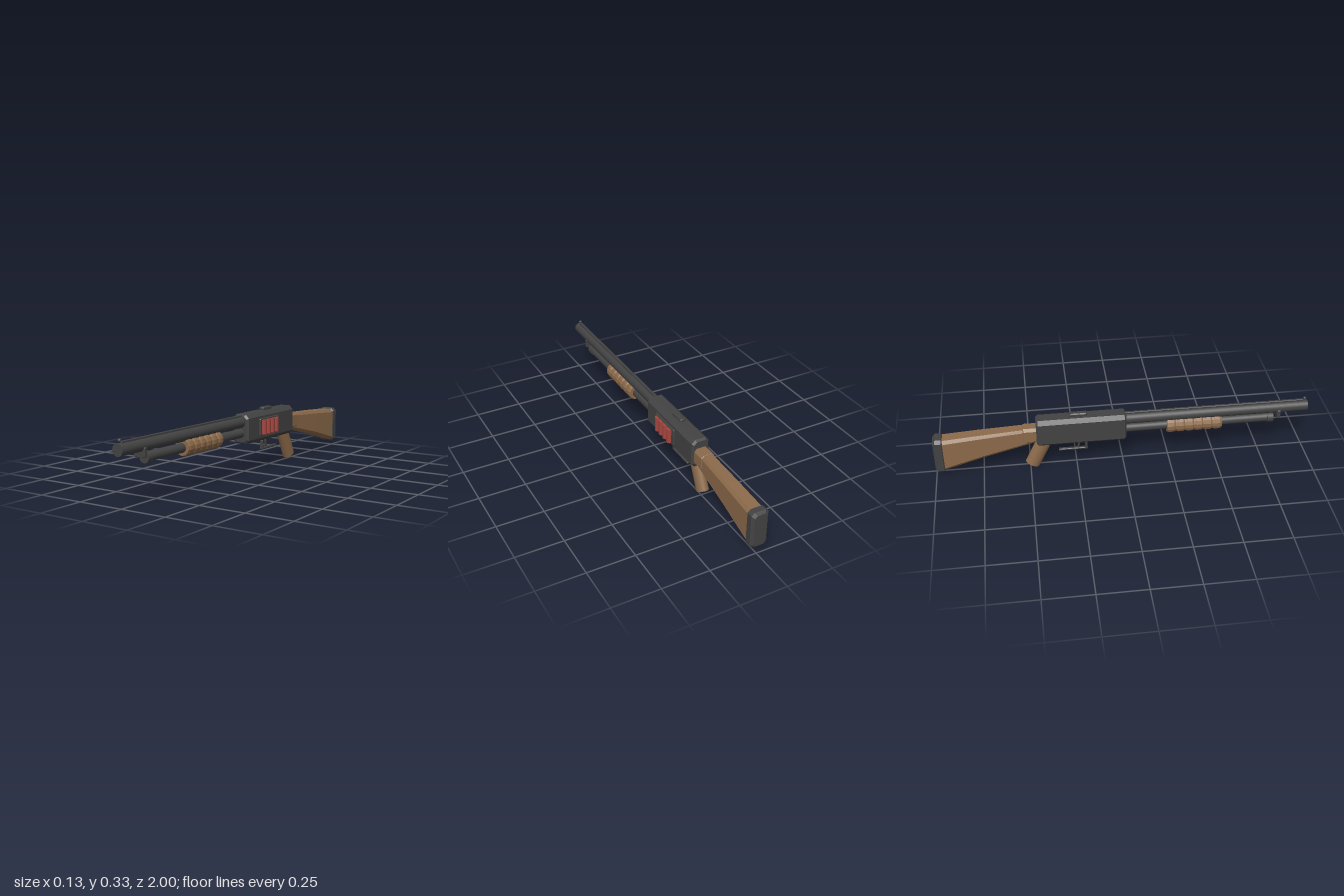
import * as THREE from 'three';

const CX = -0.0145; // centre plane of the gun

function material(name, color) {
  const m = new THREE.MeshStandardMaterial({ color });
  m.name = name;
  return m;
}

// Octagonal section: half width w, bottom y0, top y1, corner cuts cx and cy
function section(z, w, y0, y1, cx, cy = cx) {
  return [
    [-w + cx, y0], [w - cx, y0], [w, y0 + cy], [w, y1 - cy],
    [w - cx, y1], [-w + cx, y1], [-w, y1 - cy], [-w, y0 + cy],
  ].map(([x, y]) => new THREE.Vector3(x, y, z));
}

// Flat-shaded skin over sections listed from front (+z) to back
function loft(sections) {
  const pts = [];
  const n = sections[0].length;
  for (let s = 0; s < sections.length - 1; s++) {
    const a = sections[s], b = sections[s + 1];
    for (let i = 0; i < n; i++) {
      const j = (i + 1) % n;
      pts.push(a[i], b[i], b[j], a[i], b[j], a[j]);
    }
  }
  const first = sections[0], last = sections[sections.length - 1];
  for (let i = 1; i < n - 1; i++) {
    pts.push(first[0], first[i], first[i + 1], last[0], last[i + 1], last[i]);
  }
  const g = new THREE.BufferGeometry().setFromPoints(pts);
  g.computeVertexNormals();
  return g;
}

// Block with chamfered edges, c on the long edges and e at the ends
function block(width, y0, y1, zFront, zBack, c, e) {
  const w = width / 2;
  return loft([
    section(zFront, w - e, y0 + e, y1 - e, c * 0.8),
    section(zFront - e, w, y0, y1, c),
    section(zBack + e, w, y0, y1, c),
    section(zBack, w - e, y0 + e, y1 - e, c * 0.8),
  ]);
}

// Round bar along z
function bar(radius, y, zFront, zBack, sides = 32) {
  return new THREE.CylinderGeometry(radius, radius, zFront - zBack, sides)
    .rotateX(Math.PI / 2)
    .translate(0, y, (zFront + zBack) / 2);
}

export function createModel() {
  const root = new THREE.Group();
  root.name = 'shotgun';
  const metal = material('dark metal', 0x434343);
  const wood = material('wood', 0x8c6a4a);
  const red = material('red shell', 0xa3453d);

  const gun = new THREE.Group();
  gun.name = 'gun';
  gun.position.x = CX;
  root.add(gun);
  const add = (name, geometry, mat) => {
    const mesh = new THREE.Mesh(geometry, mat);
    mesh.name = name;
    gun.add(mesh);
    return mesh;
  };

  // Receiver with its rear sight
  add('receiver', block(0.098, 0.156, 0.316, 0.016, -0.46, 0.02, 0.01), metal);
  add('rearSight', block(0.03, 0.312, 0.333, -0.19, -0.28, 0.005, 0.004), metal);

  // Barrel, top rib and bead
  add('barrel', bar(0.03, 0.274, 1, 0), metal);
  add('rib', block(0.014, 0.298, 0.313, 0.975, 0.01, 0.002, 0.001), metal);
  add('frontBead', new THREE.SphereGeometry(0.009, 14, 10).translate(0, 0.317, 0.985), metal);

  // Magazine tube, end cap and barrel clamp
  add('magazineTube', bar(0.0245, 0.214, 0.8, 0), metal);
  add('magazineCap', bar(0.0285, 0.213, 0.817, 0.785), metal);
  add('barrelClamp', block(0.064, 0.218, 0.268, 0.851, 0.832, 0.004, 0.002), metal);

  // Grooved sliding fore-end
  const profile = [new THREE.Vector2(0.022, 0)];
  const ribs = 6, length = 0.295;
  for (let i = 0; i < ribs; i++) {
    const step = length / ribs;
    profile.push(
      new THREE.Vector2(0.0425, (i + (i ? 0.08 : 0)) * step),
      new THREE.Vector2(0.0465, (i + 0.25) * step),
      new THREE.Vector2(0.0465, (i + 0.75) * step),
      new THREE.Vector2(0.0425, (i + (i < ribs - 1 ? 0.92 : 1)) * step),
    );
  }
  profile.push(new THREE.Vector2(0.022, length));
  const foreEnd = new THREE.LatheGeometry(profile, 14)
    .rotateX(Math.PI / 2).translate(0, 0.216, 0.235).toNonIndexed();
  foreEnd.computeVertexNormals();
  add('foreEnd', foreEnd, wood);

  // Spare shells on a side plate
  add('shellPlate', block(0.014, 0.19, 0.284, -0.093, -0.285, 0.003, 0.003)
    .translate(0.052, 0, 0), metal);
  for (let i = 0; i < 4; i++) {
    add('spareShell', new THREE.CylinderGeometry(0.0165, 0.0165, 0.08, 16)
      .translate(0.0602, 0.236, -0.125 - i * 0.041), red);
  }

  // Trigger and open guard
  add('guardPost', block(0.018, 0.097, 0.147, -0.19, -0.203, 0.003, 0.002), metal);
  add('guardBar', block(0.018, 0.096, 0.107, -0.19, -0.345, 0.003, 0.002), metal);
  const trigger = add('trigger', block(0.011, -0.02, 0.02, 0.005, -0.005, 0.002, 0.001), metal);
  trigger.position.set(0, 0.126, -0.237);
  trigger.rotation.x = 0.25;

  // Slanted pistol grip
  const grip = add('pistolGrip', new THREE.CylinderGeometry(0.5, 0.5, 0.2, 20), wood);
  grip.scale.set(0.062, 1, 0.081);
  grip.position.set(0, 0.115, -0.445);
  grip.rotation.x = 0.45;

  // Stock neck, stock and butt pad
  add('stockNeck', block(0.076, 0.178, 0.268, -0.44, -0.53, 0.014, 0.004), wood);
  add('stock', loft([
    section(-0.46, 0.032, 0.178, 0.264, 0.009, 0.014),
    section(-0.53, 0.034, 0.161, 0.262, 0.009, 0.014),
    section(-0.75, 0.039, 0.105, 0.25, 0.011, 0.016),
    section(-0.95, 0.043, 0.046, 0.236, 0.013, 0.018),
  ]), wood);
  add('buttPad', block(0.094, 0.037, 0.242, -0.942, -1, 0.016, 0.013), metal);

  return root;
}
